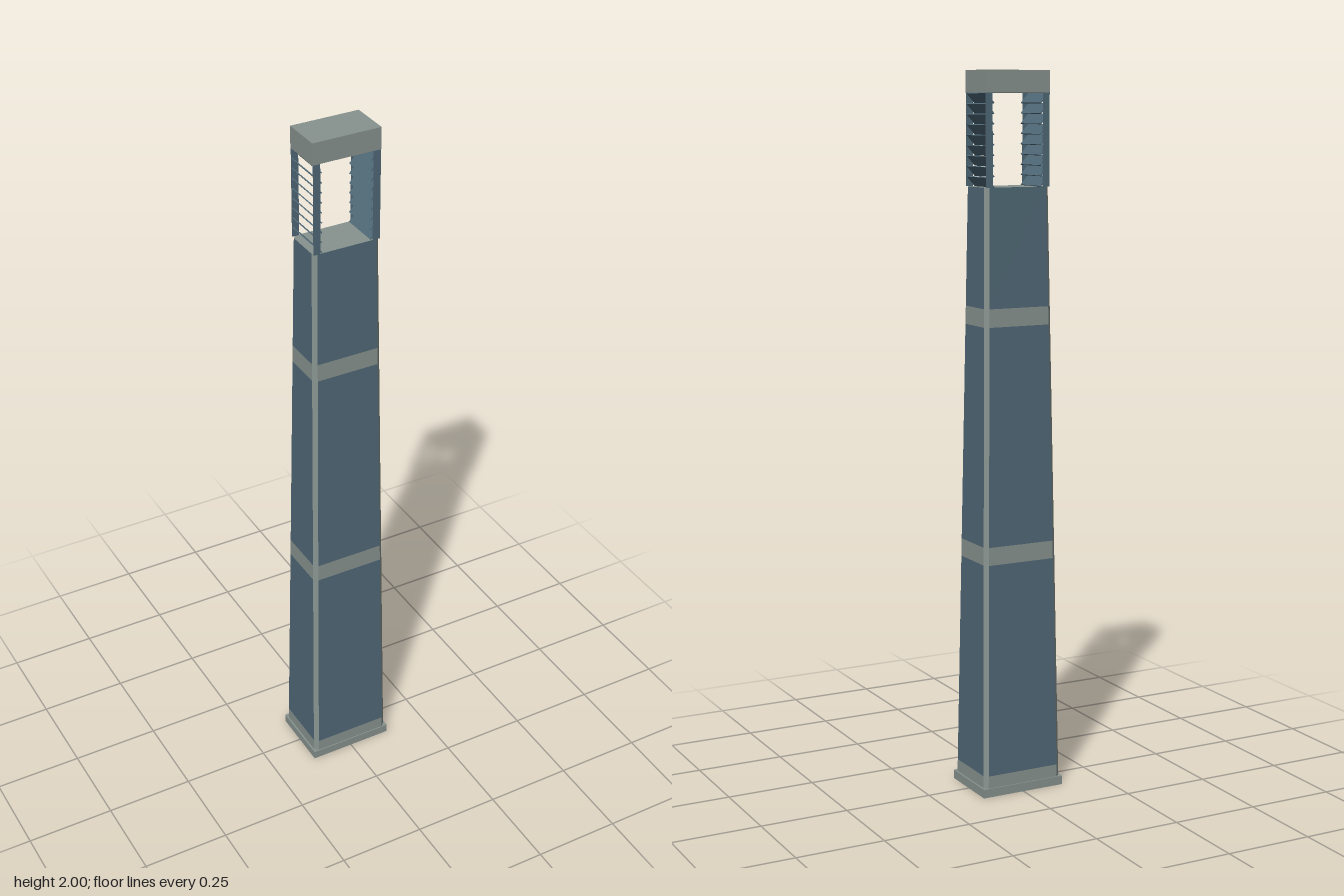
import * as THREE from 'three';

const stone = new THREE.MeshStandardMaterial({ name: 'warm grey trim', color: 0x87928e });
const blue = new THREE.MeshStandardMaterial({ name: 'slate blue panel', color: 0x4f6876 });

const BASE_Y = 0.025, BODY_TOP = 1.69, CAP_Y = 1.94;

// Chamfered rectangular cross-section of the tapering shaft at height y
function section(y) {
  const t = (y - BASE_Y) / (BODY_TOP - BASE_Y);
  const x = THREE.MathUtils.lerp(0.12, 0.097, t);
  const z = THREE.MathUtils.lerp(0.092, 0.059, t);
  const c = 0.011;
  return [
    [-x + c, z], [x - c, z], [x, z - c], [x, c - z],
    [x - c, -z], [c - x, -z], [-x, c - z], [-x, z - c],
  ];
}

// Every second side of the shaft between two heights: 0 = broad faces, 1 = chamfers
function shaftSides(y0, y1, first) {
  const lo = section(y0), hi = section(y1), pos = [];
  for (let i = first; i < 8; i += 2) {
    const j = (i + 1) % 8;
    const a = [lo[i][0], y0, lo[i][1]], b = [lo[j][0], y0, lo[j][1]];
    const c = [hi[j][0], y1, hi[j][1]], d = [hi[i][0], y1, hi[i][1]];
    pos.push(...a, ...b, ...c, ...a, ...c, ...d);
  }
  const g = new THREE.BufferGeometry();
  g.setAttribute('position', new THREE.Float32BufferAttribute(pos, 3));
  g.computeVertexNormals();
  return g;
}

export function createModel() {
  const model = new THREE.Group();
  model.name = 'louvredTower';

  const add = (name, geometry, material, x = 0, y = 0, z = 0, parent = model) => {
    const mesh = new THREE.Mesh(geometry, material);
    mesh.name = name;
    mesh.position.set(x, y, z);
    parent.add(mesh);
    return mesh;
  };

  // Foot plate and roof block
  add('footPlate', new THREE.BoxGeometry(0.25, BASE_Y, 0.19), stone, 0, BASE_Y / 2);
  add('roofBlock', new THREE.BoxGeometry(0.196, 2 - CAP_Y, 0.116), stone, 0, (2 + CAP_Y) / 2);

  // Shaft: blue panels separated by grey bands
  const levels = [BASE_Y, 0.06, 0.66, 0.71, 1.315, 1.365, BODY_TOP];
  for (let i = 0; i < levels.length - 1; i++) {
    const band = i % 2 === 0;
    add(band ? 'shaftBand' : 'shaftPanel', shaftSides(levels[i], levels[i + 1], 0), band ? stone : blue);
  }
  add('cornerStrips', shaftSides(BASE_Y, BODY_TOP, 1), stone);

  // Floor of the open top chamber
  const outline = new THREE.Shape(section(BODY_TOP).map(([x, z]) => new THREE.Vector2(x, -z)));
  add('chamberFloor', new THREE.ShapeGeometry(outline).rotateX(-Math.PI / 2), stone, 0, BODY_TOP);

  // Louvred side walls: slats falling inwards, closed by thin end plates
  const slats = 9, height = CAP_Y - BODY_TOP, pitch = height / slats;
  const slatGeometry = new THREE.BoxGeometry(0.036, 0.003, 0.112);
  const plateGeometry = new THREE.BoxGeometry(0.019, height, 0.004);
  for (const side of [-1, 1]) {
    const wall = new THREE.Group();
    wall.name = side > 0 ? 'leftLouvre' : 'rightLouvre';
    model.add(wall);
    for (let i = 0; i < slats; i++) {
      const y = BODY_TOP + (i + 0.5) * pitch;
      add('slat', slatGeometry, blue, side * 0.083, y, 0, wall).rotation.z = side * 0.83;
    }
    for (const z of [-0.058, 0.058]) {
      add('endPlate', plateGeometry, blue, side * 0.0865, BODY_TOP + height / 2, z, wall);
    }
  }
  return model;
}
